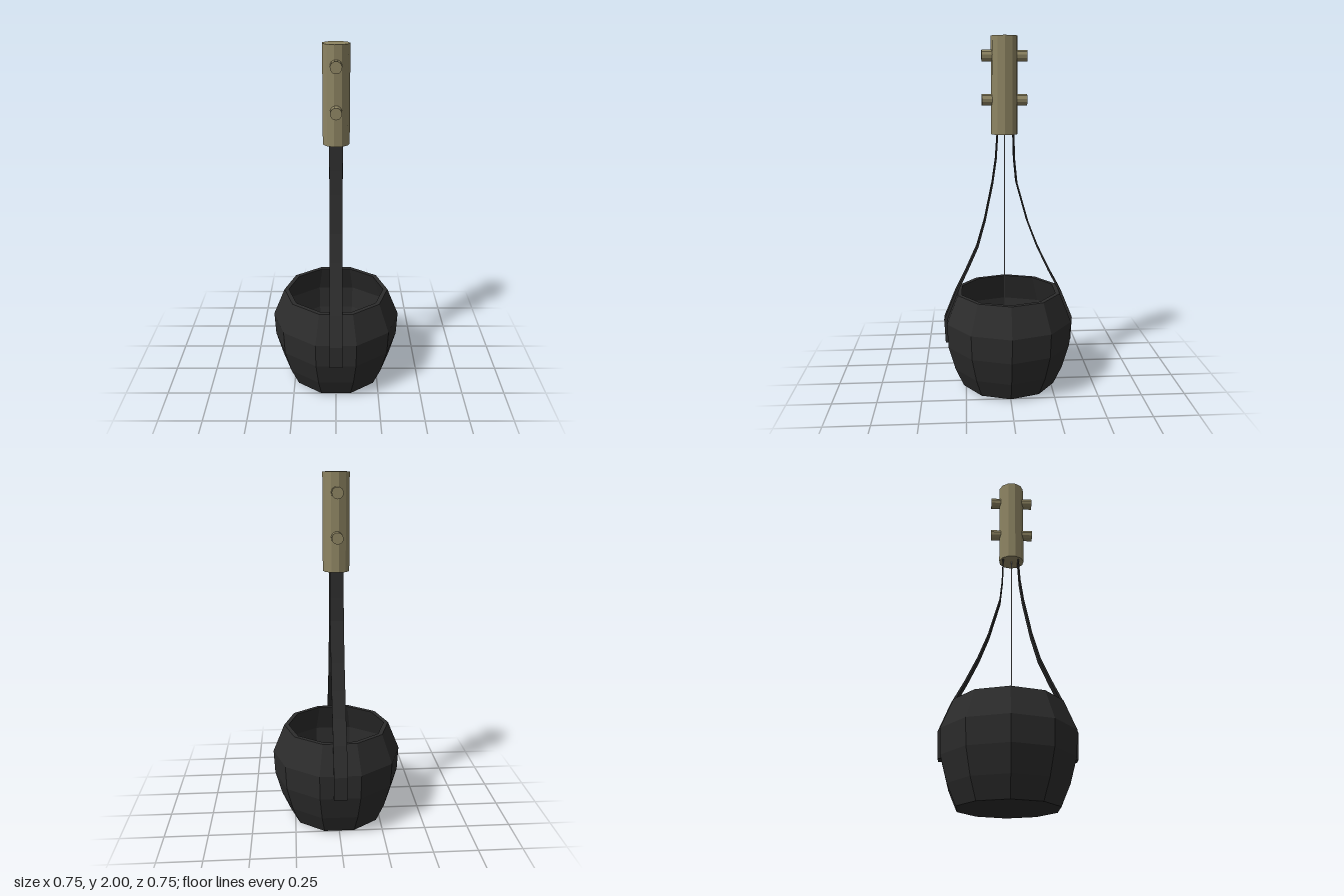
import * as THREE from 'three';

export function createModel() {
  const model = new THREE.Group();
  const dark = new THREE.MeshStandardMaterial({ color: 0x2c2c2c, flatShading: true, side: THREE.DoubleSide });
  dark.name = 'dark leather';
  const wood = new THREE.MeshStandardMaterial({ color: 0x8e8563, flatShading: true });
  wood.name = 'olive wood';
  const steel = new THREE.MeshStandardMaterial({ color: 0xa0a0a0 });
  steel.name = 'grey wire';

  const add = (name, geometry, material, x = 0, y = 0, z = 0) => {
    const mesh = new THREE.Mesh(geometry, material);
    mesh.name = name;
    mesh.position.set(x, y, z);
    model.add(mesh);
    return mesh;
  };

  // Ten-sided hollow bowl: outside going up, over the rim, inside going down
  const profile = [
    [0, 0], [0.277, 0.01], [0.327, 0.12], [0.367, 0.26], [0.374, 0.4], [0.307, 0.565],
    [0.281, 0.565], [0.345, 0.4], [0.34, 0.26], [0.302, 0.13], [0.255, 0.04], [0, 0.035],
  ].map(([r, y]) => new THREE.Vector2(r, y));
  add('bowl', new THREE.LatheGeometry(profile, 10, Math.PI / 2), dark);

  // Bent straps joining the bowl to the neck; each point is [z, y, thickness]
  const strap = (name, points, width) => {
    const side = Math.sign(points[0][0]);
    const outer = points.map(([z, y]) => new THREE.Vector2(z, y));
    const inner = points.map(([z, y, t]) => new THREE.Vector2(z - side * t, y)).reverse();
    const geometry = new THREE.ExtrudeGeometry(new THREE.Shape([...outer, ...inner]),
      { depth: width, bevelEnabled: false });
    geometry.translate(0, 0, -width / 2).rotateY(-Math.PI / 2);
    add(name, geometry, dark);
  };
  const lower = [
    [0.367, 0.26, 0.02], [0.374, 0.4, 0.02], [0.309, 0.56, 0.014],
  ];
  strap('frontStrap', [
    ...lower, [0.245, 0.69, 0.012], [0.182, 0.83, 0.011], [0.137, 0.985, 0.009],
    [0.092, 1.2, 0.008], [0.073, 1.33, 0.008], [0.061, 1.5, 0.007],
  ], 0.073);
  strap('backStrap', [
    ...lower.map(([z, y, t]) => [-z, y, t]), [-0.239, 0.69, 0.012], [-0.172, 0.83, 0.011],
    [-0.115, 0.975, 0.009], [-0.051, 1.2, 0.008], [-0.038, 1.33, 0.008], [-0.032, 1.5, 0.007],
  ], 0.076);

  // Thin string from the bowl floor to the neck
  add('string', new THREE.BoxGeometry(0.014, 1.46, 0.005), steel, 0, 0.765, 0.02);

  // Neck with two cross pegs
  add('neck', new THREE.CylinderGeometry(0.074, 0.074, 0.53, 11, 1, false, Math.PI / 2),
    wood, 0, 1.735, 0.02);
  for (const y of [1.895, 1.66]) {
    const peg = new THREE.CylinderGeometry(0.032, 0.032, 0.25, 11);
    peg.rotateX(Math.PI / 2);
    add('peg', peg, wood, 0, y, 0.02);
  }
  return model;
}
